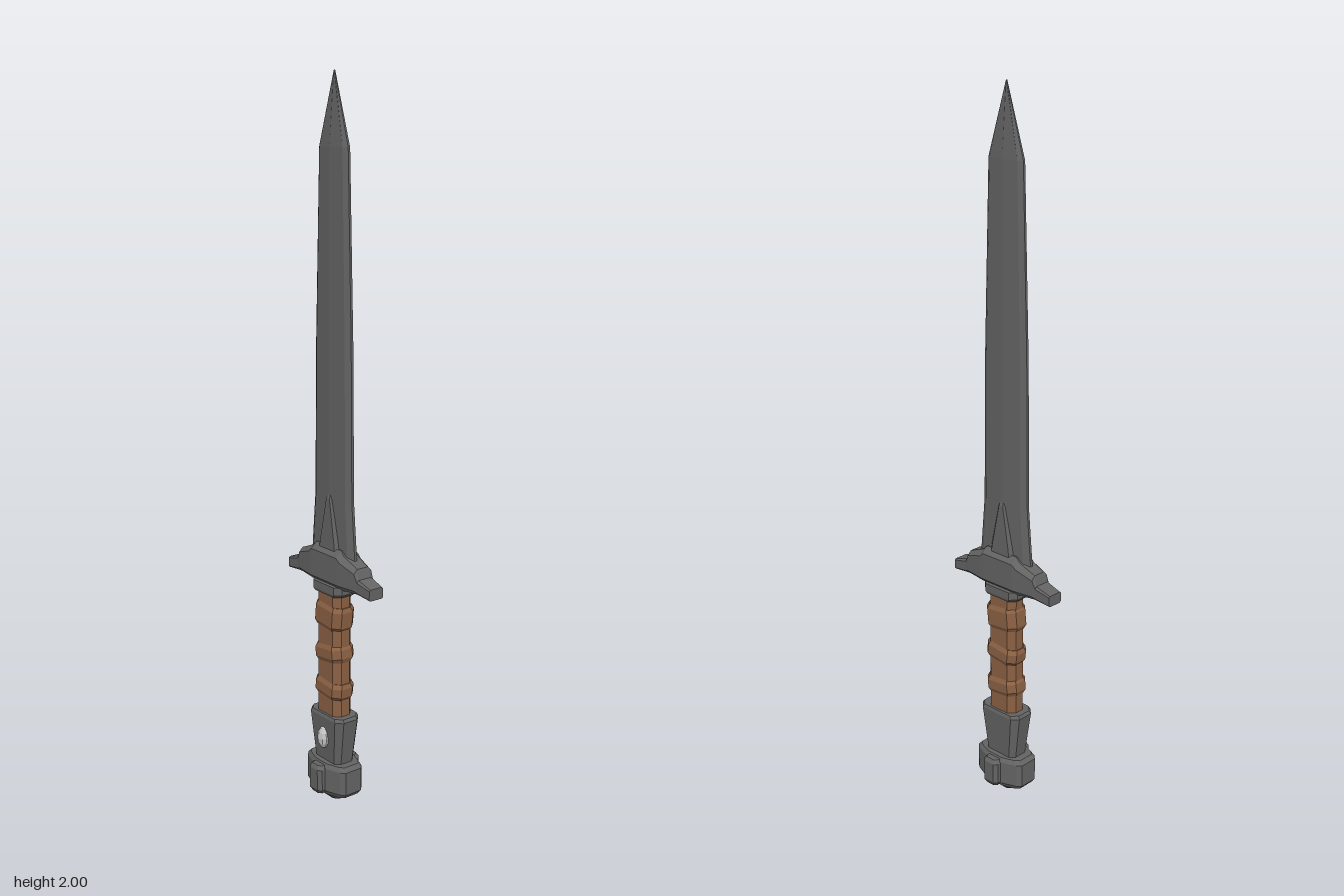
import * as THREE from 'three';

// Complete a quarter outline (+x axis to +z axis) into a full ring
function mirrorRing(quarter) {
  const flip = (sx, sz) => quarter.map(([x, z]) => [x * sx, z * sz]);
  const all = [...flip(1, 1), ...flip(-1, 1).reverse(), ...flip(-1, -1), ...flip(1, -1).reverse()];
  return all.filter(([x, z], i) => {
    const [px, pz] = all[(i + all.length - 1) % all.length];
    return Math.hypot(x - px, z - pz) > 1e-6;
  });
}

// Chamfered rectangle ring
const octagon = (x, z, c) => mirrorRing([[x, z - c], [x - c, z]]);

// Flat-shaded closed solid through stacked rings: [[y, ring], ...]
function loft(sections) {
  const pos = [];
  const n = sections[0][1].length;
  const point = (s, j) => [s[1][j % n][0], s[0], s[1][j % n][1]];
  for (let i = 0; i < sections.length - 1; i++) {
    const a = sections[i], b = sections[i + 1];
    for (let j = 0; j < n; j++) {
      pos.push(...point(a, j), ...point(b, j), ...point(a, j + 1));
      pos.push(...point(b, j), ...point(b, j + 1), ...point(a, j + 1));
    }
  }
  const first = sections[0], last = sections[sections.length - 1];
  for (let j = 1; j < n - 1; j++) {
    pos.push(...point(first, 0), ...point(first, j), ...point(first, j + 1));
    pos.push(...point(last, 0), ...point(last, j + 1), ...point(last, j));
  }
  const geo = new THREE.BufferGeometry();
  geo.setAttribute('position', new THREE.Float32BufferAttribute(pos, 3));
  geo.computeVertexNormals();
  return geo;
}

export function createModel() {
  const group = new THREE.Group();
  const material = (name, color) => {
    const m = new THREE.MeshStandardMaterial({ color, flatShading: true });
    m.name = name;
    return m;
  };
  const steel = material('dark steel', 0x636363);
  const leather = material('brown leather', 0x8a6043);
  const stone = material('pale stone', 0xc4c4c4);

  const add = (name, geo, mat) => {
    const mesh = new THREE.Mesh(geo, mat);
    mesh.name = name;
    group.add(mesh);
    return mesh;
  };

  // Blade: shallow ridge with narrow bevelled edges
  const bladeRing = (x, z) => mirrorRing([[x, 0], [x * 0.75, z * 0.8], [x * 0.2, z]]);
  add('blade', loft([
    [0.68, bladeRing(0.02, 0.097)],
    [0.74, bladeRing(0.02, 0.092)],
    [0.88, bladeRing(0.019, 0.08)],
    [1.3, bladeRing(0.018, 0.075)],
    [1.81, bladeRing(0.016, 0.06)],
    [2.0, bladeRing(0.002, 0.001)],
  ]), steel);

  // Tapered reinforcement at the blade root
  add('bladeRoot', loft([
    [0.70, octagon(0.028, 0.05, 0.012)],
    [0.76, octagon(0.026, 0.042, 0.012)],
    [0.88, octagon(0.023, 0.017, 0.01)],
    [0.9, octagon(0.015, 0.01, 0.006)],
  ]), steel);

  // Crossguard: sections along z as [z, half width, bottom, top, chamfer]
  const half = [
    [0.18, 0.024, 0.636, 0.668, 0.004],
    [0.132, 0.028, 0.641, 0.682, 0.006],
    [0.122, 0.03, 0.639, 0.71, 0.012],
    [0.068, 0.037, 0.634, 0.732, 0.016],
    [0.055, 0.038, 0.632, 0.745, 0.018],
  ];
  const guardSections = [
    ...half.map(([z, ...r]) => [-z, ...r]),
    ...half.slice().reverse(),
  ].map(([z, w, lo, hi, c]) => [
    z, octagon(w, (hi - lo) / 2, c).map(([x, v]) => [x, v - (hi + lo) / 2]),
  ]);
  add('crossguard', loft(guardSections).rotateX(Math.PI / 2), steel);

  // Collar under the guard
  add('collar', loft([
    [0.61, octagon(0.036, 0.056, 0.016)],
    [0.618, octagon(0.039, 0.062, 0.017)],
    [0.64, octagon(0.039, 0.062, 0.017)],
  ]), steel);

  // Grip core and slanted leather wraps
  add('grip', loft([
    [0.24, octagon(0.032, 0.05, 0.018)],
    [0.62, octagon(0.032, 0.05, 0.018)],
  ]), leather);
  [[0.545, 0.07, 0.1], [0.435, 0.05, -0.12], [0.33, 0.05, 0.1]].forEach(([y, h, tilt]) => {
    const wrap = add('gripWrap', loft([
      [-h / 2, octagon(0.032, 0.05, 0.018)],
      [-h / 2 + 0.012, octagon(0.038, 0.056, 0.019)],
      [h / 2 - 0.012, octagon(0.038, 0.056, 0.019)],
      [h / 2, octagon(0.032, 0.05, 0.018)],
    ]), leather);
    wrap.position.y = y;
    wrap.rotation.x = tilt;
  });

  // Flared ferrule between grip and pommel
  add('ferrule', loft([
    [0.1, octagon(0.033, 0.053, 0.014)],
    [0.245, octagon(0.042, 0.073, 0.018)],
    [0.254, octagon(0.039, 0.068, 0.018)],
  ]), steel);

  // Pommel body, side knobs and foot
  const pommelRing = (s) => mirrorRing([[0.055, 0.03], [0.039, 0.074], [0.027, 0.087]]
    .map(([x, z]) => [x * s, z * s]));
  add('pommel', loft([
    [0.018, pommelRing(0.87)],
    [0.032, pommelRing(1)],
    [0.1, pommelRing(1)],
    [0.112, pommelRing(0.88)],
  ]), steel);
  for (const side of [1, -1]) {
    const knob = add('pommelKnob', loft([
      [0.022, octagon(0.023, 0.02, 0.008)],
      [0.034, octagon(0.03, 0.027, 0.01)],
      [0.096, octagon(0.03, 0.027, 0.01)],
      [0.107, octagon(0.023, 0.02, 0.008)],
    ]), steel);
    knob.position.x = side * 0.045;
  }
  add('pommelFoot', loft([
    [0, octagon(0.028, 0.043, 0.014)],
    [0.01, octagon(0.036, 0.053, 0.016)],
    [0.022, octagon(0.036, 0.053, 0.016)],
  ]), steel);

  // Oval stone set into one side of the ferrule
  const gem = add('stone', new THREE.SphereGeometry(1, 10, 6), stone);
  gem.scale.set(0.018, 0.033, 0.02);
  gem.position.set(-0.038, 0.182, 0);

  return group;
}
